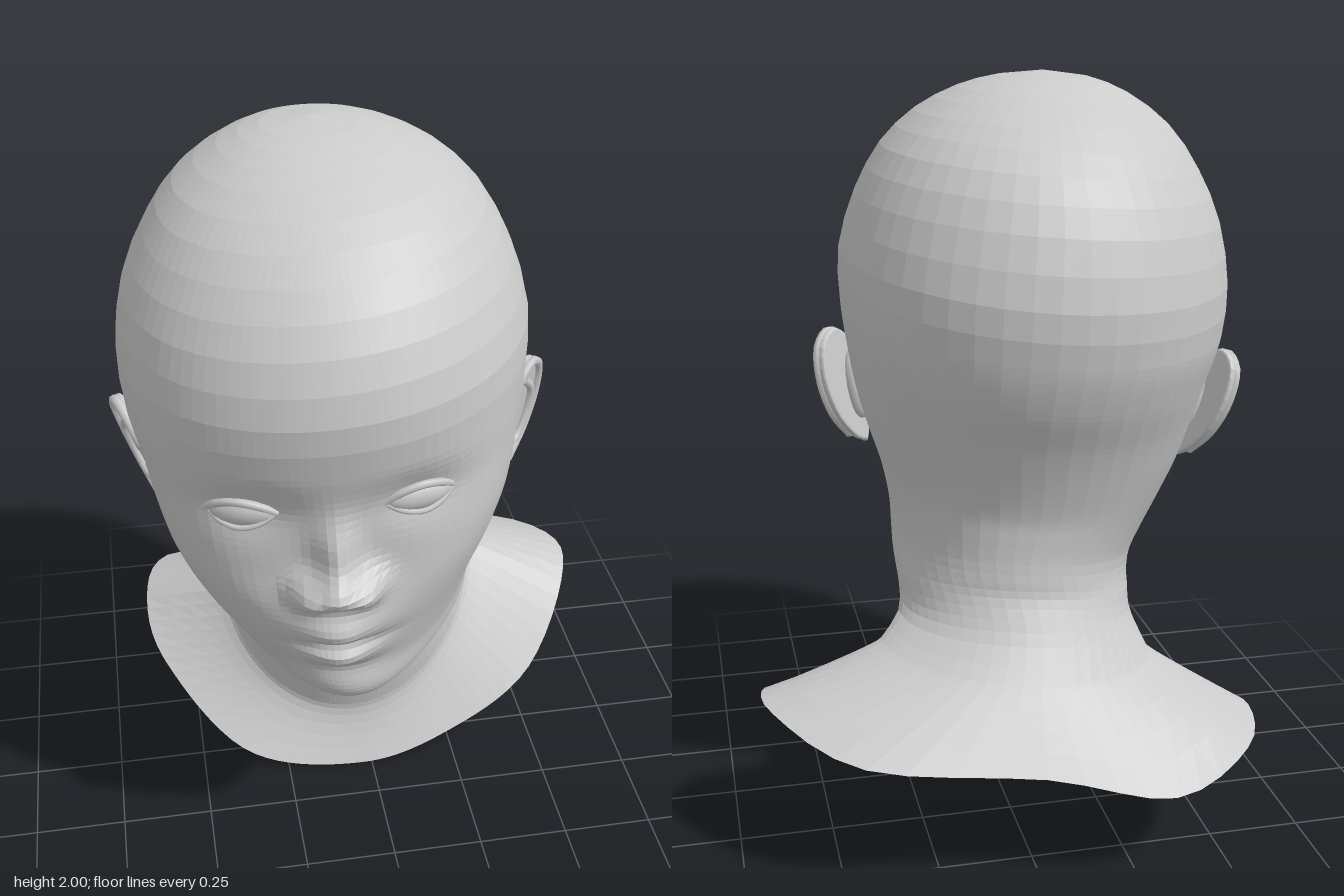
import * as THREE from 'three';

const mat = new THREE.MeshStandardMaterial({ color: 0xcccccc, flatShading: true, side: THREE.DoubleSide });
const smooth = new THREE.MeshStandardMaterial({ color: 0xcccccc, side: THREE.DoubleSide });
const V = (x, y, z) => new THREE.Vector3(x, y, z);
const YAW = -0.12, ROLL = 0.08, PIVOT = V(-0.105, 1.12, 0.03);

// Tilted rings, crown to neck: frontY, frontZ, sideY, halfWidth, centreX, backY, backZ
const RINGS = [
  [2.0, 0.0, 2.0, 0.0, -0.14, 2.0, 0.0],
  [1.985, 0.12, 1.985, 0.12, -0.14, 1.985, -0.11],
  [1.95, 0.23, 1.95, 0.225, -0.14, 1.95, -0.2],
  [1.88, 0.37, 1.88, 0.335, -0.14, 1.88, -0.31],
  [1.78, 0.5, 1.78, 0.42, -0.135, 1.78, -0.425],
  [1.65, 0.595, 1.65, 0.485, -0.13, 1.65, -0.505],
  [1.5, 0.64, 1.5, 0.52, -0.12, 1.48, -0.55],
  [1.36, 0.622, 1.36, 0.515, -0.115, 1.34, -0.54],
  [1.22, 0.588, 1.24, 0.49, -0.105, 1.22, -0.505],
  [1.08, 0.575, 1.12, 0.465, -0.1, 1.1, -0.45],
  [0.96, 0.582, 1.01, 0.435, -0.1, 0.99, -0.41],
  [0.84, 0.578, 0.9, 0.395, -0.095, 0.9, -0.385],
  [0.72, 0.55, 0.8, 0.36, -0.08, 0.84, -0.38],
  [0.63, 0.52, 0.73, 0.34, -0.065, 0.78, -0.38],
  [0.59, 0.42, 0.68, 0.33, -0.055, 0.73, -0.385],
  [0.575, 0.3, 0.64, 0.325, -0.05, 0.69, -0.39],
  [0.53, 0.22, 0.59, 0.32, -0.045, 0.64, -0.415],
  [0.4, 0.135, 0.55, 0.33, -0.04, 0.58, -0.45],
  [0.19, 0.07, 0.5, 0.37, -0.02, 0.5, -0.51],
];

// Open lower edge across chest and shoulders, every 30 degrees from the front towards +x
const RIM = new THREE.CatmullRomCurve3([
  V(-0.03, 0, 0.125), V(0.25, 0.07, 0.1), V(0.5, 0.2, 0.02), V(0.65, 0.4, -0.16),
  V(0.66, 0.43, -0.36), V(0.45, 0.37, -0.6), V(0, 0.32, -0.66), V(-0.33, 0.25, -0.7),
  V(-0.56, 0.32, -0.6), V(-0.63, 0.33, -0.38), V(-0.59, 0.23, -0.17), V(-0.37, 0.05, 0.07),
], true, 'catmullrom');

// Facial relief: |x|, y, depth, spread in x, spread in y
const RELIEF = [
  [0, 1.04, 0.09, 0.045, 0.035],      // nose tip
  [0, 1.13, 0.055, 0.036, 0.06],      // nose bridge
  [0.075, 1.025, 0.06, 0.03, 0.03],   // nostril wings
  [0, 0.93, 0.03, 0.11, 0.05],        // fullness round the mouth
  [0, 0.9, 0.033, 0.06, 0.03],        // upper lip
  [0, 0.81, 0.042, 0.06, 0.03],       // lower lip
  [0, 0.852, -0.02, 0.075, 0.012],    // mouth line
  [0, 0.755, -0.01, 0.08, 0.025],     // dip above chin
  [0, 0.67, 0.02, 0.09, 0.045],       // chin
  [0.2, 1.25, -0.028, 0.075, 0.05],   // eye sockets
  [0.27, 1.02, 0.01, 0.1, 0.09],      // cheeks
];
const relief = (u, y) => RELIEF.reduce((s, [x, cy, d, sx, sy]) =>
  s + d * Math.exp(-(((Math.abs(u) - x) / sx) ** 2 + ((y - cy) / sy) ** 2) / 2), 0);

// Smooth interpolation of the ring table
function ringAt(t) {
  const i = Math.min(Math.floor(t), RINGS.length - 2), f = t - i;
  const at = k => RINGS[THREE.MathUtils.clamp(k, 0, RINGS.length - 1)];
  const [p, a, b, n] = [at(i - 1), at(i), at(i + 1), at(i + 2)];
  return a.map((v, k) => v + 0.5 * f * (b[k] - p[k] + f * (2 * p[k] - 5 * v + 4 * b[k] - n[k]
    + f * (3 * (v - b[k]) + n[k] - p[k]))));
}

function skinPoint(t, th) {
  const [fy, fz, sy, w, cx, by, bz] = ringAt(t);
  const c = Math.cos(th), front = c > 0;
  const neck = THREE.MathUtils.smoothstep(t, 12, 17);
  const hump = (mid, spread) => Math.exp(-(((t - mid) / spread) ** 2));
  // the jaw narrows towards the chin, the cheeks are full on the diagonals
  const taper = front ? 0.22 * hump(13, 1.7) * c * c : 0;
  const full = 1 + Math.sin(2 * th) ** 2 * (0.015 * (1 - neck) + (front ? 0.075 * hump(8.8, 1.6) : 0));
  const u = w * Math.sin(th) * (1 - taper) * full;
  const y = sy + ((front ? fy : by) - sy) * Math.abs(c) ** (front ? 2 - 0.85 * neck : 2);
  let z = (fz + bz) / 2 + (fz - bz) / 2 * c * full;
  if (front && t > 5 && t < 14.5) z += relief(u, y) * Math.min(1, c * 2);
  const a = YAW * (1 - neck), dz = z - PIVOT.z;
  return V(cx + u * Math.cos(a) + dz * Math.sin(a),
    y + (ROLL + 0.04 * neck) * u * Math.min(1, t / 4),
    PIVOT.z - u * Math.sin(a) + dz * Math.cos(a));
}

// Flare from the neck base to the rim, leaving the neck along its own slope
function flarePoint(s, th, last) {
  const base = skinPoint(last, th);
  const bend = base.clone().sub(skinPoint(last - 0.5, th)).multiplyScalar(0.5).add(base);
  const rim = RIM.getPoint(th / (Math.PI * 2));
  return new THREE.QuadraticBezierCurve3(base, bend, rim).getPoint(s);
}

// Head, neck and shoulders as one open shell
function skinGeometry() {
  const cols = 72, last = RINGS.length - 1, ts = [], pos = [], idx = [];
  for (let k = 0; k < last; k++) {
    const n = k === 0 ? 1 : k >= 7 && k <= 12 ? 7 : 2;
    for (let s = 0; s < n; s++) ts.push(k + s / n);
  }
  for (let s = 0; s <= 6; s++) ts.push(last + s / 6);
  ts.forEach(t => {
    for (let j = 0; j <= cols; j++) {
      const phi = (j % cols) / cols * Math.PI * 2;
      const th = phi - 0.5 * Math.sin(phi); // more columns on the face
      const p = t > last ? flarePoint(t - last, th, last) : skinPoint(t, th);
      pos.push(p.x, p.y, p.z);
    }
  });
  for (let i = 0; i < ts.length - 1; i++) for (let j = 0; j < cols; j++) {
    const a = i * (cols + 1) + j, b = a + cols + 1;
    if (i > 0) idx.push(a, b, a + 1);
    idx.push(a + 1, b, b + 1);
  }
  const g = new THREE.BufferGeometry();
  g.setAttribute('position', new THREE.Float32BufferAttribute(pos, 3));
  g.setIndex(idx);
  g.computeVertexNormals();
  return g;
}

function add(parent, name, geo, material = smooth) {
  const m = new THREE.Mesh(geo, material);
  m.name = name;
  parent.add(m);
  return m;
}
const tube = (pts, r) => new THREE.TubeGeometry(new THREE.CatmullRomCurve3(pts), 28, r, 6);

// Ear: x runs backwards, z points outwards
function makeEar() {
  const ear = new THREE.Group();
  const outline = [[-0.06, -0.175], [-0.08, -0.12], [-0.06, -0.03], [-0.075, 0.06], [-0.055, 0.13],
    [0, 0.175], [0.065, 0.145], [0.085, 0.05], [0.055, -0.06], [-0.01, -0.145]];
  const shape = new THREE.Shape();
  shape.moveTo(-0.055, -0.165);
  shape.splineThru(outline.slice(1).concat([outline[0]]).map(([x, y]) => new THREE.Vector2(x * 0.92, y * 0.94)));
  add(ear, 'earShell', new THREE.ExtrudeGeometry(shape, {
    depth: 0.01, bevelSize: 0.006, bevelThickness: 0.006, bevelSegments: 2, curveSegments: 3,
  }));
  add(ear, 'earHelix', tube([V(-0.03, 0.02, 0.012)].concat(
    outline.slice(3).map(([x, y]) => V(x * 0.9, y * 0.93, 0.018))), 0.013));
  add(ear, 'earInnerFold', tube([V(-0.01, 0.11, 0.014), V(0.035, 0.07, 0.02), V(0.04, 0, 0.02),
    V(0.01, -0.07, 0.02), V(-0.035, -0.085, 0.016)], 0.012));
  const tragus = add(ear, 'earTragus', new THREE.SphereGeometry(0.02, 10, 8));
  tragus.position.set(-0.055, -0.03, 0.014);
  tragus.scale.set(0.8, 1.4, 0.7);
  const root = add(ear, 'earRoot', new THREE.SphereGeometry(0.05, 12, 10));
  root.position.set(-0.04, 0, -0.015);
  root.scale.set(0.8, 2, 0.6);
  return ear;
}

// Eyeball with an almond of lids round it
function makeEye() {
  const eye = new THREE.Group();
  add(eye, 'eyeball', new THREE.SphereGeometry(1, 20, 14)).scale.set(0.086, 0.042, 0.036);
  const lid = h => [-1, -0.55, 0, 0.55, 1].map(s =>
    V(s * 0.09, h * (1 - s * s), 0.032 - 0.03 * s * s));
  add(eye, 'upperLid', tube(lid(0.04), 0.01));
  add(eye, 'lowerLid', tube(lid(-0.033), 0.007));
  return eye;
}

export function createModel() {
  const model = new THREE.Group();
  add(model, 'headNeckAndShoulders', skinGeometry(), mat);

  // Eyes, ears and mouth share the turned and tilted frame of the head
  const frame = new THREE.Group();
  frame.name = 'headFrame';
  frame.position.copy(PIVOT);
  frame.rotation.set(0, YAW, ROLL);
  for (const side of [1, -1]) {
    const half = new THREE.Group();
    half.name = side > 0 ? 'leftSide' : 'rightSide';
    half.scale.x = side;
    const ear = makeEar();
    ear.name = 'ear';
    // the right ear lies flatter against the head
    ear.position.set(side > 0 ? 0.5 : 0.495, 0.0, -0.02);
    ear.rotation.set(0, side > 0 ? 0.98 : 1.15, -0.23, 'ZYX');
    const eye = makeEye();
    eye.name = 'eye';
    eye.position.set(0.21, 0.12, 0.5);
    eye.rotation.y = 0.32;
    half.add(ear, eye);
    frame.add(half);
  }
  // Pocket behind the lips, seen through the open neck
  const mouth = add(frame, 'mouthPocket', new THREE.SphereGeometry(1, 16, 10));
  mouth.scale.set(0.11, 0.04, 0.07);
  mouth.position.set(0, -0.265, 0.46);
  model.add(frame);
  return model;
}
